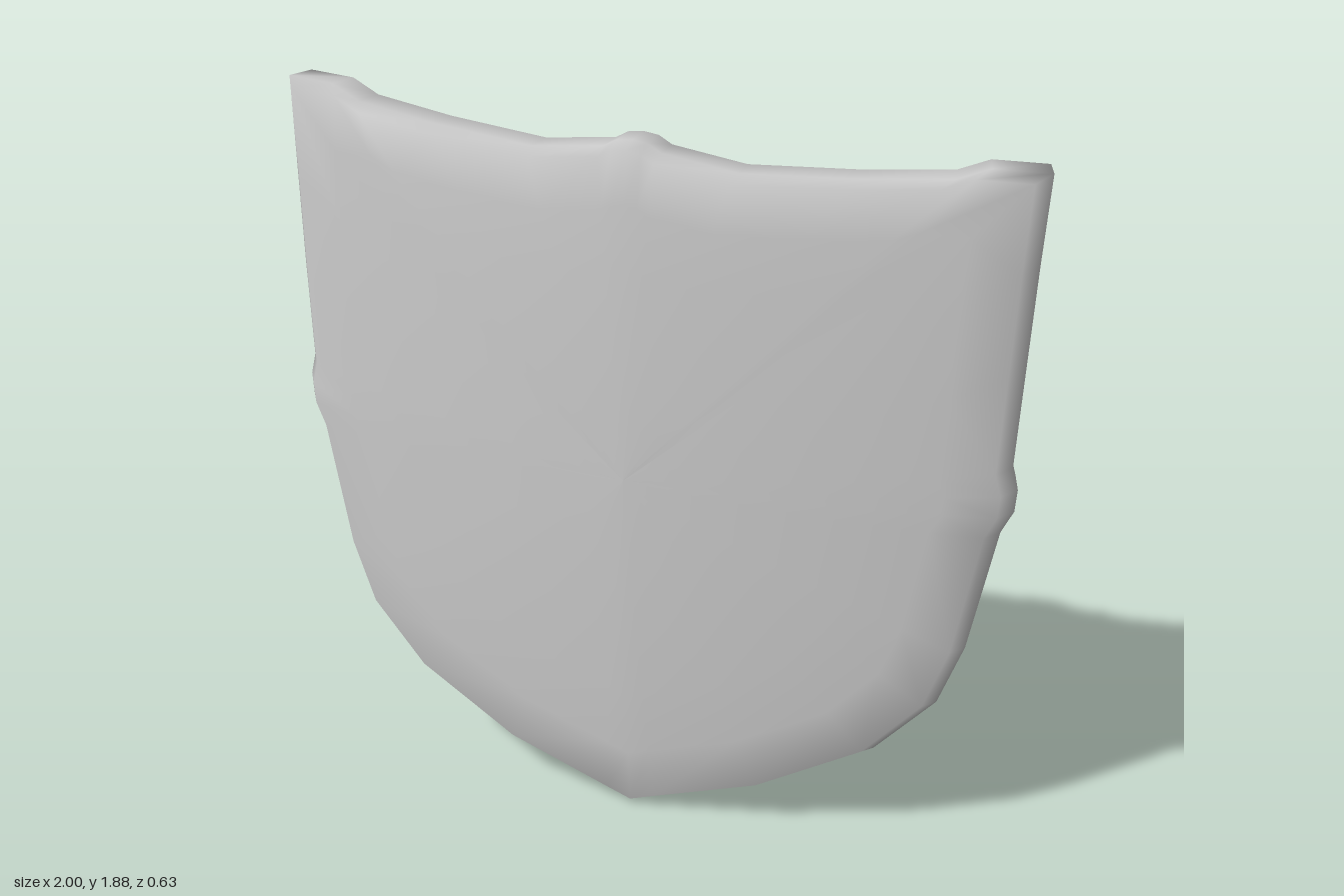
import * as THREE from 'three';

const material = new THREE.MeshStandardMaterial({ color: 0xcccccc, side: THREE.DoubleSide });

// Joins equal-length rings of points into one smooth surface; columns wrap around.
function skin(rings) {
  const n = rings[0].length, index = [];
  for (let r = 0; r < rings.length - 1; r++) {
    for (let i = 0; i < n; i++) {
      const j = (i + 1) % n, a = r * n + i, b = r * n + j, c = a + n, d = b + n;
      index.push(a, d, c, a, b, d);
    }
  }
  const geometry = new THREE.BufferGeometry();
  geometry.setAttribute('position', new THREE.Float32BufferAttribute(rings.flat(2), 3));
  geometry.setIndex(index);
  geometry.computeVertexNormals();
  return geometry;
}

// Shield: half outline mirrored, then rings scaled about its middle.
// The front and rim bend back at the sides; the middle of the back is a flat pad.
function shieldPlate() {
  const half = [
    [0, 1.885], [0.04, 1.88], [0.075, 1.86], [0.27, 1.83], [0.55, 1.84], [0.78, 1.855], [0.86, 1.885],
    [1, 1.88], [0.985, 1.65], [0.97, 1.38], [0.955, 1.12], [0.97, 1.06], [0.965, 1], [0.935, 0.94],
    [0.865, 0.6], [0.8, 0.43], [0.645, 0.27], [0.36, 0.12], [0.07, 0.03], [0, 0.005],
  ];
  const outline = [...half, ...half.slice(1, -1).reverse().map(([x, y]) => [-x, y])];
  // [x scale, y scale, depth, share of bend] from the middle of the front to the middle of the back
  const profile = [
    [0, 0, 0.283, 1], [0.22, 0.22, 0.283, 1], [0.45, 0.45, 0.283, 1], [0.65, 0.65, 0.283, 1],
    [0.83, 0.83, 0.283, 1], [0.968, 0.985, 0.278, 1], [1, 1, 0.235, 1], [0.975, 0.994, 0.155, 1],
    [0.94, 0.96, 0.152, 1], [0.8, 0.8, 0.155, 0.65], [0.62, 0.62, 0.155, 0], [0.3, 0.3, 0.155, 0],
    [0, 0, 0.155, 0],
  ];
  return skin(profile.map(([sx, sy, depth, share]) => outline.map(([ox, oy]) => {
    const x = ox * sx, y = 1 + (oy - 1) * sy;
    const bend = 0.14 * Math.pow(Math.abs(x) / 0.97, 1.7);
    const bulge = 0.03 * (1 - ((y - 0.95) / 0.95) ** 2);
    return [x, y, depth + share * (bulge - bend)];
  })));
}

// Handle: six-sided bar with mitred corners swept along a [z, y] path, leaning slightly in x.
function handle(path, x, lean, radius) {
  const points = path.map(([z, y]) => new THREE.Vector2(z, y));
  return skin(points.map((p, k) => {
    const before = p.clone().sub(points[Math.max(k - 1, 0)]).normalize();
    const after = points[Math.min(k + 1, points.length - 1)].clone().sub(p).normalize();
    const t = before.clone().add(after).normalize();
    const mitre = 1 / t.dot(k ? before : after);
    return Array.from({ length: 6 }, (_, i) => {
      const a = -i * Math.PI / 3, out = radius * Math.cos(a) * mitre;
      return [x + lean * p.x + radius * Math.sin(a), p.y + t.x * out, p.x - t.y * out];
    });
  }));
}

export function createModel() {
  const model = new THREE.Group();
  model.name = 'shield';
  const add = (name, geometry) => {
    const mesh = new THREE.Mesh(geometry, material);
    mesh.name = name;
    model.add(mesh);
  };

  add('shieldPlate', shieldPlate());

  // Large arm loop and smaller hand grip on the back
  add('armLoop', handle(
    [[0.2, 1.4], [-0.14, 1.31], [-0.238, 1.15], [-0.238, 0.93], [-0.135, 0.758], [0.2, 0.675]],
    0.4, 0.11, 0.08));
  add('handGrip', handle(
    [[0.2, 1.245], [0.02, 1.175], [-0.04, 1.08], [-0.04, 0.92], [0.025, 0.82], [0.2, 0.75]],
    -0.385, 0, 0.068));

  return model;
}
